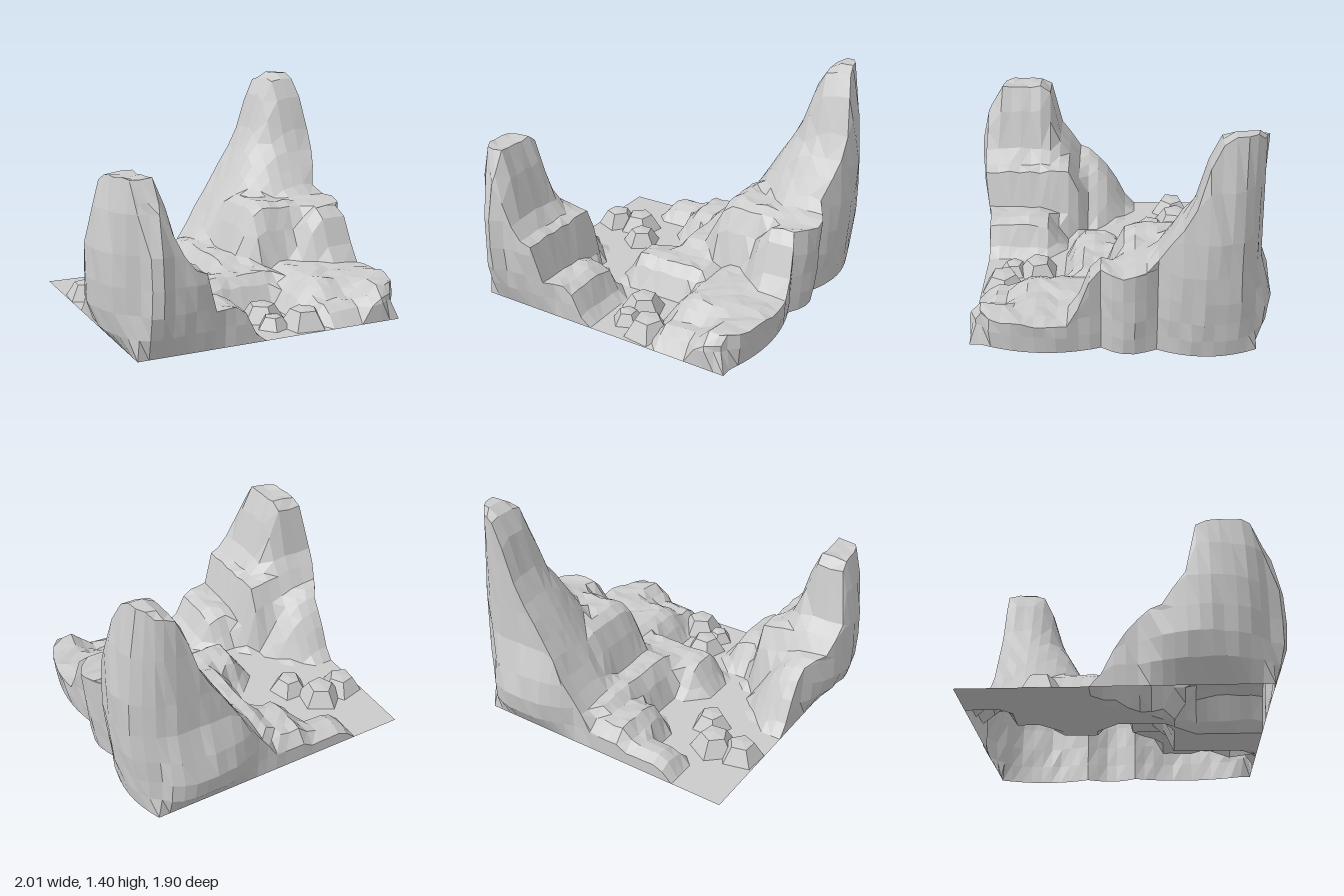
import * as THREE from 'three';

const HALF = 0.85; // half width of the square floor
const N = 26; // grid cells per side
const LEVELS = [1.1, 0.8, 0.58, 0.4, 0.25, 0.12, 0]; // heights of the outer wall rows

// Piecewise-linear curve through [distance, height] points
function curve(points, t) {
  const k = points.findIndex(([d]) => d > t);
  if (k < 0) return 0;
  if (k === 0) return points[0][1];
  const [a, va] = points[k - 1], [b, vb] = points[k];
  return va + (vb - va) * (t - a) / (b - a);
}

// Repeatable roughness in -0.5..0.5
function rough(i, j) {
  const s = Math.sin(i * 127.1 + j * 311.7) * 43758.5453;
  return s - Math.floor(s) - 0.5;
}

// Rounded lump of height 1 at c, falling to 0 at distance w
const lump = (t, c, w) => Math.max(0, 1 - ((t - c) / w) ** 2);

// Distance from a rectangle on the floor
function distance(x, z, x0, x1, z0, z1) {
  return Math.hypot(Math.max(x0 - x, 0, x - x1), Math.max(z0 - z, 0, z - z1));
}

const TALL_PEAK = [[0, 1.4], [0.09, 1.33], [0.2, 0.95], [0.42, 0.58], [0.64, 0.22], [0.8, 0]];
const SHORT_PEAK = [[0, 0.98], [0.05, 0.92], [0.1, 0.62], [0.22, 0.45], [0.28, 0.3], [0.4, 0]];

// Shelves: flat core x0, x1, z0, z1, then height and width of the sloping edge
const SHELVES = [
  [0.38, 0.9, -0.45, -0.12, 0.58, 0.22], // shoulders below the tall peak
  [0.74, 0.9, -0.4, 0.05, 0.56, 0.22],
  [0.08, 0.9, -0.72, -0.05, 0.25, 0.13], // low ground on the right
  [0.47, 0.9, -0.5, 0.5, 0.21, 0.2],
  [0.74, 0.9, 0.4, 0.77, 0.21, 0.16],
  [0.42, 0.9, 0.55, 0.72, 0.12, 0.12],
  [-0.1, 0.34, 0.04, 0.19, 0.2, 0.13], // plateau in the middle
  [-0.12, 0.3, -0.76, -0.52, 0.2, 0.14], // back mounds
  [-0.4, 0, -0.8, -0.7, 0.11, 0.11],
  [-0.9, -0.82, 0.25, 0.85, 0.43, 0.35], // ridge and terraces of the short peak
  [-0.9, -0.48, 0.32, 0.85, 0.48, 0.11],
  [-0.9, -0.25, 0.5, 0.85, 0.22, 0.14],
];

function height(x, z) {
  let h = Math.max(
    curve(TALL_PEAK, distance(x, z, 0.77, 0.87, -0.8, -0.64)),
    curve(SHORT_PEAK, distance(x, z, -0.86, -0.72, 0.5, 0.79)),
  );
  for (const [x0, x1, z0, z1, top, run] of SHELVES) {
    h = Math.max(h, top * lump(distance(x, z, x0, x1, z0, z1), 0, run));
  }
  return h;
}

// Swell the outer walls beyond the square floor and round off tall corners
function bulge(x, z, y) {
  const foot = Math.min(1, y / 0.15);
  const left = 0.15 * lump(z, 0.5, 0.38) * foot * lump(y, 0.4, 0.72);
  const toe = Math.max(0.1 * lump(x, -0.74, 0.15), 0.06 * lump(x, -0.6, 0.3));
  const front = toe * foot * lump(y, 0.4, 0.5);
  const ribs = Math.max(0.15 * lump(z, -0.54, 0.34), 0.13 * lump(z, -0.1, 0.18), 0.12 * lump(z, 0.4, 0.38));
  const right = ribs * lump(y, 0.6, 0.95);
  const back = 0.1 * lump(x, 0.55, 0.36) * lump(y, 0.25, 0.25);
  const cut = 0.3 * foot * Math.max(0, Math.abs(x) + Math.abs(z) - 1.56);
  const near = (t) => Math.sign(t) * Math.max(0, (Math.abs(t) - 0.5) / (HALF - 0.5)) ** 2;
  return [
    x + near(x) * ((x > 0 ? right : left) - cut), y,
    z + near(z) * ((z > 0 ? front : back) - cut),
  ];
}

// Ground, mounds and outer walls as one open shell
function terrainGeometry() {
  const positions = [], index = [], heights = [];
  const at = (i) => -HALF + (2 * HALF * i) / N;
  const id = (i, j) => j * (N + 1) + i;
  for (let j = 0; j <= N; j++) {
    for (let i = 0; i <= N; i++) {
      const x = at(i), z = at(j);
      let h = height(x, z);
      if (h > 0.04 && h < 1.3) h += rough(i, j) * 0.02;
      heights.push(h);
      positions.push(...bulge(x, z, h));
    }
  }
  for (let j = 0; j < N; j++) {
    for (let i = 0; i < N; i++) {
      const a = id(i, j), b = id(i + 1, j), c = id(i + 1, j + 1), d = id(i, j + 1);
      // split each cell along its flatter diagonal
      if (Math.abs(heights[a] - heights[c]) < Math.abs(heights[b] - heights[d])) index.push(a, d, c, a, c, b);
      else index.push(a, d, b, b, d, c);
    }
  }
  // walk the border, dropping a column of wall points from each edge vertex
  const border = [];
  for (let k = 0; k < N; k++) border.push([k, N]);
  for (let k = 0; k < N; k++) border.push([N, N - k]);
  for (let k = 0; k < N; k++) border.push([N - k, 0]);
  for (let k = 0; k < N; k++) border.push([0, k]);
  const columns = border.map(([i, j]) => {
    const top = id(i, j), column = [top];
    LEVELS.forEach((level, r) => {
      if (level >= heights[top] && level > 0) return column.push(top);
      const [x, y, z] = bulge(at(i), at(j), level);
      const chip = level > 0 ? 1 + 0.02 * rough(i * 3 + r, j * 5) : 1;
      column.push(positions.length / 3);
      return positions.push(x * chip, y, z * chip);
    });
    return column;
  });
  const triangle = (a, b, c) => {
    if (a !== b && b !== c && a !== c) index.push(a, b, c);
  };
  columns.forEach((p, k) => {
    const q = columns[(k + 1) % columns.length];
    if (heights[p[0]] + heights[q[0]] < 0.001) return;
    for (let r = 0; r < LEVELS.length; r++) {
      triangle(p[r], p[r + 1], q[r + 1]);
      triangle(p[r], q[r + 1], q[r]);
    }
  });
  const geometry = new THREE.BufferGeometry();
  geometry.setAttribute('position', new THREE.Float32BufferAttribute(positions, 3));
  geometry.setIndex(index);
  geometry.computeVertexNormals();
  return geometry;
}

export function createModel() {
  const model = new THREE.Group();
  model.name = 'rockyTerrain';
  const stone = new THREE.MeshStandardMaterial({ color: 0xcccccc, flatShading: true, side: THREE.DoubleSide });

  const terrain = new THREE.Mesh(terrainGeometry(), stone);
  terrain.name = 'terrain';
  model.add(terrain);

  // Loose faceted rocks on the floor: x, z, radius
  const rocks = new THREE.Group();
  rocks.name = 'rocks';
  const spots = [
    [0.09, 0.5, 0.14], [0.26, 0.71, 0.15], [0.08, 0.66, 0.1],
    [-0.73, -0.4, 0.14], [-0.55, -0.42, 0.15], [-0.42, -0.24, 0.13],
  ];
  spots.forEach(([x, z, radius], k) => {
    const tall = radius * 0.7;
    const rock = new THREE.Mesh(new THREE.CylinderGeometry(radius * 0.55, radius, tall, 5, 1, true), stone);
    const cap = new THREE.Mesh(new THREE.ConeGeometry(radius * 0.55, 0.01, 5, 1, true), stone);
    rock.name = 'rock';
    cap.name = 'rockTop';
    cap.position.y = tall / 2 + 0.005;
    rock.add(cap);
    rock.position.set(x, tall / 2, z);
    rock.rotation.y = k * 0.5;
    rocks.add(rock);
  });
  model.add(rocks);
  return model;
}
